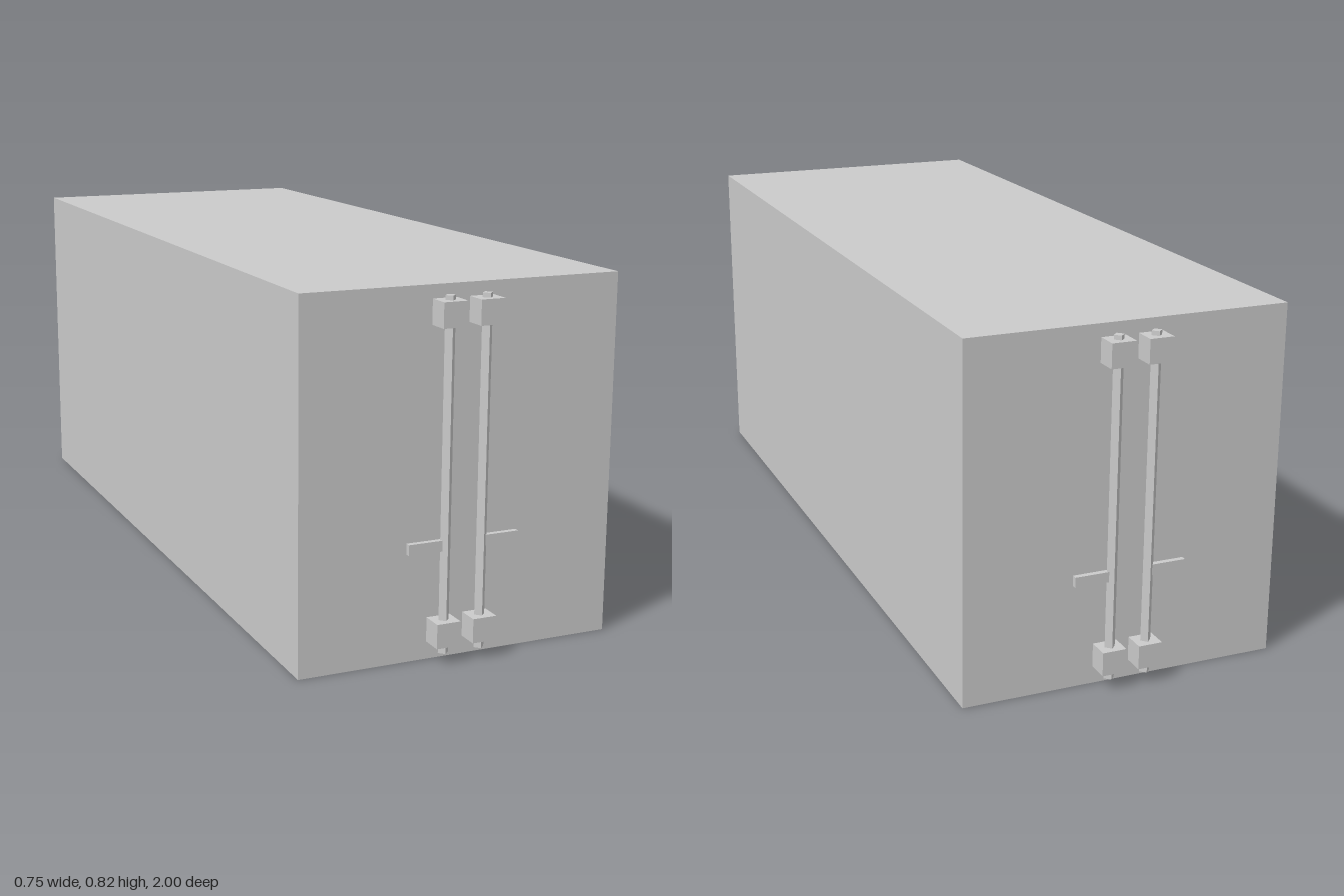
import * as THREE from 'three';

const material = new THREE.MeshStandardMaterial({ color: 0xcccccc, flatShading: true });

function addPart(parent, name, geometry, x, y, z) {
  const mesh = new THREE.Mesh(geometry, material);
  mesh.name = name;
  mesh.position.set(x, y, z);
  parent.add(mesh);
}

export function createModel() {
  const model = new THREE.Group();
  model.name = 'container';

  // Plain box body
  addPart(model, 'body', new THREE.BoxGeometry(0.75, 0.82, 1.9), 0, 0.41, 0);

  const rodGeometry = new THREE.CylinderGeometry(0.0123, 0.0123, 0.78, 4);
  const bracketGeometry = new THREE.BoxGeometry(0.056, 0.055, 0.05);
  const handleGeometry = new THREE.BoxGeometry(0.088, 0.024, 0.012);

  // Locking bars on both ends, mirrored front to back
  for (const end of [1, -1]) {
    const locks = new THREE.Group();
    locks.name = end > 0 ? 'frontLocks' : 'backLocks';
    model.add(locks);
    for (const side of [-1, 1]) {
      const x = -0.003 + side * 0.0435;
      const z = end * 0.975;
      addPart(locks, 'lockRod', rodGeometry, x, 0.41, z);
      // Brackets holding the rod at top and bottom
      for (const y of [0.0675, 0.7625]) addPart(locks, 'bracket', bracketGeometry, x, y, z);
      // Handle pointing outward from the rod
      addPart(locks, 'handle', handleGeometry, x + side * 0.044, 0.262, end * 0.973);
    }
  }
  return model;
}
